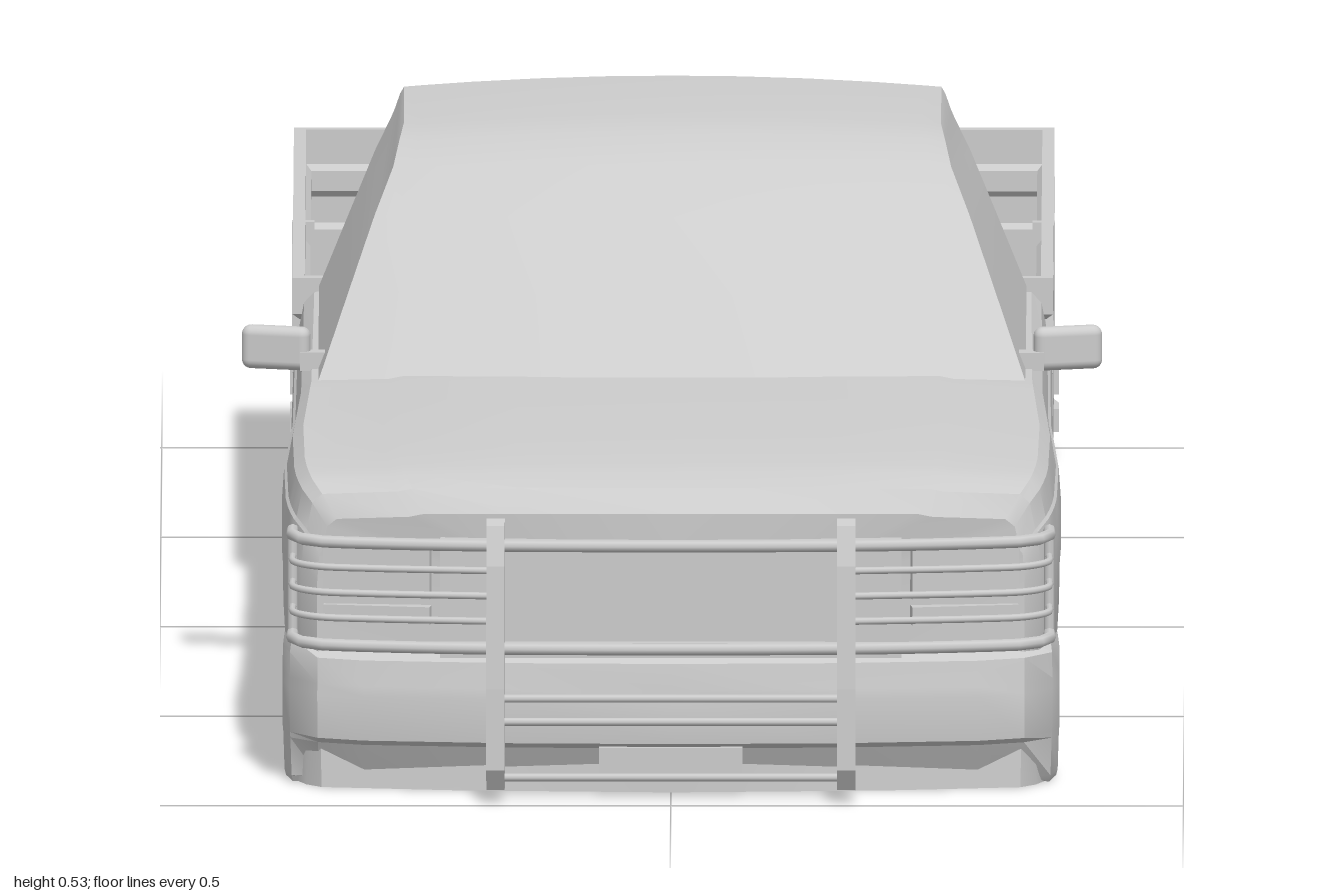
import * as THREE from 'three';
import { toCreasedNormals } from 'three/addons/utils/BufferGeometryUtils.js';
import { RoundedBoxGeometry } from 'three/addons/geometries/RoundedBoxGeometry.js';

const mat = new THREE.MeshStandardMaterial({ color: 0xcccccc, side: THREE.DoubleSide });

function add(parent, name, geo, x = 0, y = 0, z = 0) {
  const m = new THREE.Mesh(geo, mat);
  m.name = name;
  m.position.set(x, y, z);
  parent.add(m);
  return m;
}

// Box given by its limits on each axis
function box(parent, name, x0, x1, y0, y1, z0, z1) {
  return add(parent, name, new THREE.BoxGeometry(x1 - x0, y1 - y0, z1 - z0),
    (x0 + x1) / 2, (y0 + y1) / 2, (z0 + z1) / 2);
}

// Surface through rows of [x, y, z] points
function loft(rows, crease = 0.5) {
  const n = rows[0].length, index = [];
  for (let i = 0; i < rows.length - 1; i++) {
    for (let j = 0; j < n - 1; j++) {
      const a = i * n + j, b = a + n;
      index.push(a, a + 1, b, a + 1, b + 1, b);
    }
  }
  const g = new THREE.BufferGeometry();
  g.setAttribute('position', new THREE.Float32BufferAttribute(rows.flat(2), 3));
  g.setIndex(index);
  return toCreasedNormals(g, crease);
}

// Extrude a (z, y) outline across x from x0 to x1
function sidePlate(points, x0, x1) {
  const shape = new THREE.Shape(points.map(p => new THREE.Vector2(...p)));
  const g = new THREE.ExtrudeGeometry(shape, { depth: x1 - x0, bevelEnabled: false });
  return g.rotateY(-Math.PI / 2).translate(x1, 0, 0);
}

// Linear interpolation in a short table of [key, value], keys ascending
function table(t, k) {
  if (k <= t[0][0]) return t[0][1];
  for (let i = 1; i < t.length; i++) {
    if (k <= t[i][0]) {
      return THREE.MathUtils.mapLinear(k, t[i - 1][0], t[i][0], t[i - 1][1], t[i][1]);
    }
  }
  return t[t.length - 1][1];
}

function buildBody(root) {
  const base = 0.005;
  const width = [[-0.1, 0.37], [0.44, 0.372], [0.65, 0.38], [0.8, 0.378], [0.87, 0.37], [0.905, 0.36], [0.925, 0.345]];
  const top = [[-0.1, 0.328], [0.46, 0.335], [0.65, 0.329], [0.8, 0.32], [0.87, 0.312], [0.905, 0.302], [0.925, 0.28]];
  const arch = [[0.462, base], [0.475, 0.06], [0.49, 0.105], [0.52, 0.16], [0.565, 0.2], [0.735, 0.2],
    [0.785, 0.17], [0.815, 0.12], [0.83, 0.06], [0.838, base]];
  const stations = [-0.1, 0.2, 0.44, ...arch.map(a => a[0]), 0.65, 0.87, 0.905, 0.925].sort((a, b) => a - b);
  const rows = stations.map(z => {
    const w = table(width, z), t = table(top, z), a = table(arch, z), s = t / 0.335;
    const bow = Math.max(0, (z - 0.838) / 0.087) * 0.035;
    const half = [[0, base], [0.21, base], [0.21, a], [w * 0.988, a], [w * 0.993, Math.max(a, 0.135)],
      [w, Math.max(a, 0.142)], [w, 0.25 * s], [w * 0.994, 0.283 * s], [w * 0.987, 0.286 * s],
      [w * 0.972, 0.315 * s], [w * 0.945, t - 0.009], [w * 0.74, t - 0.005], [w * 0.7, t - 0.002], [w * 0.4, t]];
    const ring = [...half, [0, t + 0.001], ...half.slice(1).reverse().map(([x, y]) => [-x, y]), half[0]];
    return ring.map(([x, y]) => [x, y, z - bow * (x / 0.37) ** 2]);
  });
  const n = rows[0].length;
  const cap = (y, z) => Array.from({ length: n }, () => [0, y, z]);
  add(root, 'bodyShell', loft([cap(0.17, -0.1), ...rows, cap(0.16, 0.925)]));
}

function buildCab(root) {
  // z, y, half width, bow, crown from the windscreen base over the roof to the rear wall
  const profile = [[0.485, 0.325, 0.345, 0.05, 0], [0.392, 0.402, 0.315, 0.044, 0.002], [0.313, 0.466, 0.29, 0.037, 0.004],
    [0.25, 0.507, 0.272, 0.03, 0.007], [0.19, 0.528, 0.266, 0.02, 0.01], [0.13, 0.536, 0.262, 0.01, 0.011],
    [-0.085, 0.536, 0.262, 0, 0.011], [-0.1, 0.325, 0.345, 0, 0]];
  const us = [-1, -0.93, -0.75, -0.5, -0.25, 0, 0.25, 0.5, 0.75, 0.93, 1];
  const rows = profile.map(([z, y, w, bow, crown]) => us.map(u => [u * w, y - crown * u * u, z - bow * u * u]));
  add(root, 'windscreenRoofAndRear', loft(rows, 0.6));
  for (const s of [1, -1]) {
    const sides = rows.slice(0, 6).map(r => {
      const [x, y, z] = r[s > 0 ? us.length - 1 : 0];
      const rear = [x, y, THREE.MathUtils.mapLinear(y, 0.325, 0.525, -0.1, -0.085)];
      return s > 0 ? [[x, y, z], rear] : [rear, [x, y, z]];
    });
    add(root, 'cabSide', loft(sides));
    // Wing mirror
    const mirror = new THREE.Group();
    mirror.name = 'wingMirror';
    add(mirror, 'mirrorHead', new RoundedBoxGeometry(0.068, 0.043, 0.02, 3, 0.009), s * 0.386, 0.343, 0.345).rotation.y = s * 0.25;
    add(mirror, 'mirrorArm', new THREE.BoxGeometry(0.03, 0.018, 0.018), s * 0.348, 0.332, 0.355);
    root.add(mirror);
  }
}

function buildFront(root) {
  // Bumper swept around the nose
  const half = [[0.16, 0.942], [0.3, 0.928], [0.345, 0.912], [0.372, 0.875], [0.379, 0.838]];
  const path = [...half.map(([x, z]) => [-x, z]).reverse(), [0, 0.947], ...half];
  const section = [[0.06, 0.005], [0.035, 0.012], [0.014, 0.05], [0.004, 0.056], [0, 0.1], [0.002, 0.11], [0.006, 0.135], [0.04, 0.148]];
  add(root, 'frontBumper', loft(section.map(([d, y]) => path.map(([x, z]) =>
    [x * (1 - d * 0.15), y, z - d * (Math.abs(x) > 0.36 ? 0.2 : 1)]))));
  box(root, 'numberPlate', -0.07, 0.07, 0.02, 0.052, 0.92, 0.942);
  // Grille and lamps
  box(root, 'grillePanel', -0.225, 0.225, 0.155, 0.255, 0.9, 0.929);
  box(root, 'grilleSill', -0.225, 0.225, 0.14, 0.155, 0.9, 0.936);
  for (const s of [1, -1]) {
    add(root, 'headlamp', new THREE.BoxGeometry(0.105, 0.055, 0.03), s * 0.285, 0.222, 0.895).rotation.y = s * 0.16;
    add(root, 'indicator', new THREE.BoxGeometry(0.105, 0.018, 0.03), s * 0.285, 0.178, 0.895).rotation.y = s * 0.16;
  }
}

function buildBullBar(root) {
  const bar = new THREE.Group();
  bar.name = 'bullBar';
  const tube = (name, pts, r) => add(bar, name, new THREE.TubeGeometry(
    new THREE.CatmullRomCurve3(pts.map(p => new THREE.Vector3(...p)), false, 'centripetal'), 32, r, 8));
  const wrap = [[0.17, 0.968], [0.3, 0.953], [0.345, 0.942], [0.367, 0.918], [0.369, 0.88]];
  // Thick rails run right across
  for (const y of [0.257, 0.155]) {
    tube('mainRail', [...wrap.map(([x, z]) => [-x, y, z]).reverse(), ...wrap.map(([x, z]) => [x, y, z])], 0.006);
  }
  for (const y of [0.108, 0.085, 0.03]) tube('lowerRail', [[-0.17, y, 0.982], [0.17, y, 0.982]], 0.004);
  const upright = [[0.95, 0.015], [0.985, 0.018], [1, 0.04], [0.998, 0.12], [0.988, 0.24], [0.976, 0.278],
    [0.958, 0.282], [0.956, 0.26], [0.964, 0.15], [0.968, 0.05]];
  for (const s of [1, -1]) {
    add(bar, 'upright', sidePlate(upright, s * 0.171 - 0.009, s * 0.171 + 0.009));
    for (const y of [0.232, 0.207, 0.182]) tube('lampGuardRail', wrap.map(([x, z]) => [s * x, y, z]), 0.0035);
    tube('lampGuardEnd', [[s * 0.369, 0.155, 0.88], [s * 0.369, 0.257, 0.88]], 0.005);
  }
  root.add(bar);
}

function buildBed(root) {
  const bed = new THREE.Group();
  bed.name = 'loadBed';
  const front = -0.105, rear = -0.945, w = 0.371;
  // Ribbed walls: one inset profile carried round the bed outline
  const wall = [[0.012, 0.155], [0, 0.155], [0, 0.21], [0.007, 0.216], [0.007, 0.232], [0, 0.238], [0, 0.268], [0.007, 0.274],
    [0.007, 0.29], [0, 0.296], [0, 0.332], [0.012, 0.332], [0.012, 0.298], [0.017, 0.292], [0.017, 0.272],
    [0.012, 0.266], [0.012, 0.24], [0.017, 0.234], [0.017, 0.18]];
  add(bed, 'bedWalls', loft(wall.map(([d, y]) => [[-w + d, y, front - d], [w - d, y, front - d],
    [w - d, y, rear + d], [-w + d, y, rear + d], [-w + d, y, front - d]]), 0.2));
  box(bed, 'bedFloor', d(-1), d(1), 0.156, 0.188, rear + 0.012, front - 0.012);
  function d(s) { return s * (w - 0.012); }
  for (const s of [1, -1]) add(bed, 'sidePost', new THREE.BoxGeometry(0.022, 0.105, 0.012), s * 0.361, 0.263, -0.515);
  add(bed, 'endPost', new THREE.BoxGeometry(0.012, 0.105, 0.022), 0, 0.263, front - 0.011);

  // Narrow underbody with free-hanging wheel arches at its sides
  box(bed, 'underbody', -0.21, 0.21, 0.04, 0.157, rear + 0.005, front);
  const arch = [[-0.67, 0.005], [-0.667, 0.05], [-0.655, 0.1], [-0.625, 0.15], [-0.385, 0.15], [-0.35, 0.1], [-0.338, 0.05], [-0.335, 0.005]];
  const inner = arch.map(([z, y]) => [-0.5025 + (z + 0.5025) * 0.97, y > 0.01 ? y - 0.004 : y]).reverse();
  for (const s of [1, -1]) {
    const x0 = s > 0 ? 0.21 : -0.367;
    add(bed, 'wheelArch', sidePlate([...arch, ...inner], x0, x0 + 0.157));
    // Rear lamps
    for (let i = 0; i < 4; i++) {
      add(bed, 'rearLamp', new THREE.BoxGeometry(0.015, 0.03, 0.014), s * (0.275 + i * 0.024), 0.172, rear - 0.002);
    }
  }
  root.add(bed);

  // Rear bumper in three layers: step, recessed strip and notched top
  const layer = (name, half, y0, y1) => {
    const pts = [...half, ...half.map(([x, z]) => [-x, z]).reverse()].map(([x, z]) => new THREE.Vector2(x, -z));
    const g = new THREE.ExtrudeGeometry(new THREE.Shape(pts), { depth: y1 - y0, bevelEnabled: false });
    add(root, name, g.rotateX(-Math.PI / 2), 0, y0, 0);
  };
  const corner = inset => [[0.35, -1 + inset], [0.368 - inset, -0.985 + inset], [0.375 - inset, -0.955],
    [0.375 - inset, -0.92], [0.362, -0.92], [0.362, -0.94]];
  layer('rearBumperStep', [[0.09, -0.995], ...corner(0)], 0.035, 0.058);
  layer('rearBumperStrip', [[0.075, -0.968], [0.09, -0.994], ...corner(0.006)], 0.058, 0.072);
  layer('rearBumperTop', [[0.075, -0.968], [0.095, -1], ...corner(0)], 0.072, 0.105);
}

export function createModel() {
  const root = new THREE.Group();
  root.name = 'pickupTruck';
  buildBody(root);
  buildCab(root);
  buildFront(root);
  buildBullBar(root);
  buildBed(root);
  return root;
}
